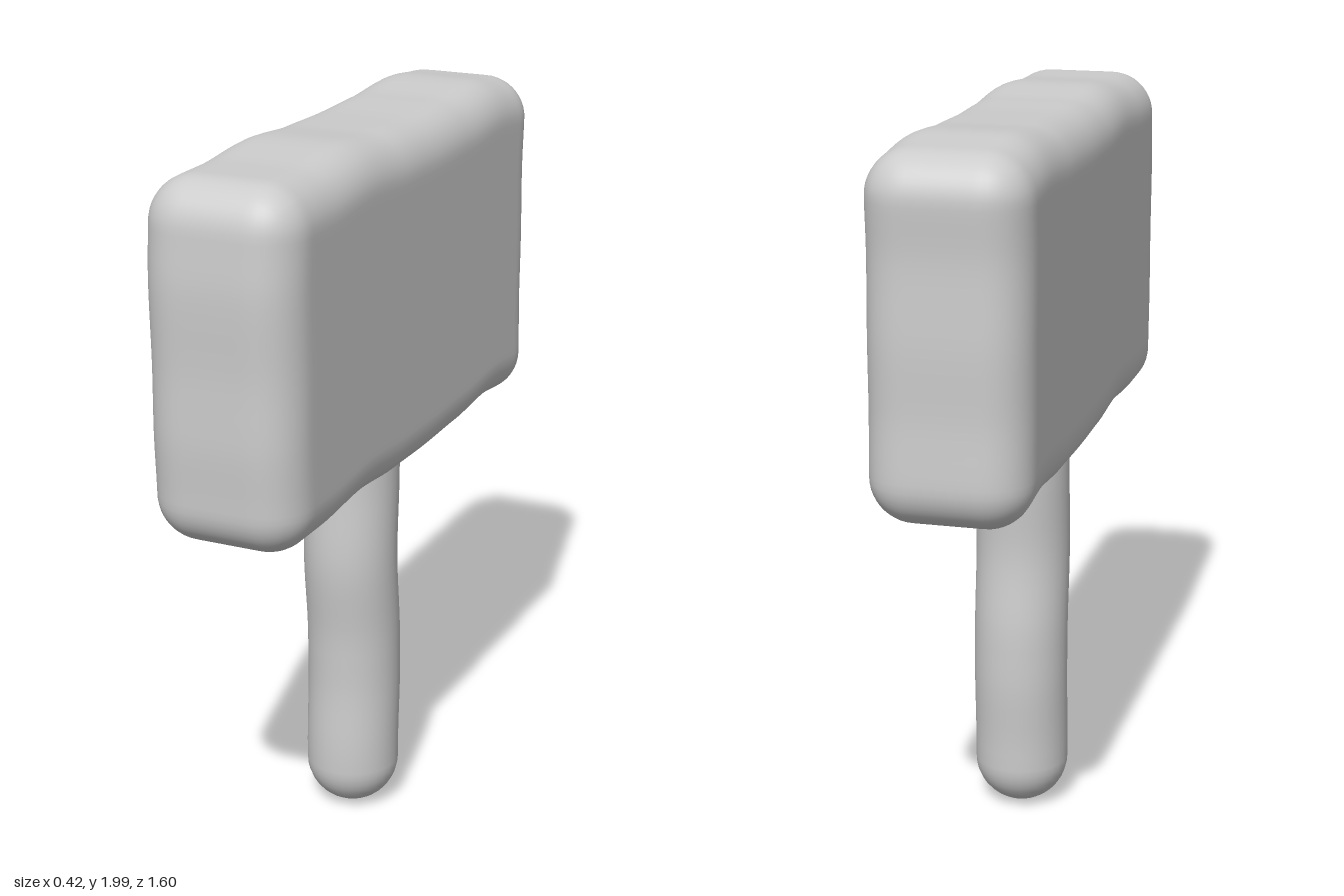
import * as THREE from 'three';
import { mergeVertices } from 'three/addons/utils/BufferGeometryUtils.js';

// Smooth value at t through [position, value] keys
function wave(keys, t) {
  if (t <= keys[0][0]) return keys[0][1];
  for (let i = 1; i < keys.length; i++) {
    const [a, va] = keys[i - 1], [b, vb] = keys[i];
    if (t <= b) return va + (vb - va) * THREE.MathUtils.smoothstep(t, a, b);
  }
  return keys[keys.length - 1][1];
}

// Move every vertex by a rule, then weld and smooth the normals
function reshape(geometry, rule) {
  geometry.deleteAttribute('normal');
  geometry.deleteAttribute('uv');
  const p = geometry.attributes.position, v = new THREE.Vector3();
  for (let i = 0; i < p.count; i++) {
    rule(v.fromBufferAttribute(p, i));
    p.setXYZ(i, v.x, v.y, v.z);
  }
  const welded = mergeVertices(geometry, 1e-5);
  welded.computeVertexNormals();
  return welded;
}

export function createModel() {
  const model = new THREE.Group();
  const material = new THREE.MeshStandardMaterial({ color: 0xcccccc });

  // Board: a box rounded on all edges, with gently wavy outlines
  const half = new THREE.Vector3(0.21, 0.4675, 0.792), radius = 0.12, middle = 1.517;
  const core = half.clone().subScalar(radius), coreMin = core.clone().negate();
  const heightWave = [[-0.7, 0], [-0.52, 0.0145], [-0.3, 0.002], [-0.08, -0.002],
    [0.1, 0.001], [0.32, 0.0145], [0.56, 0]];
  const depthWave = [[1.15, -0.006], [1.35, 0.002], [1.5, 0], [1.72, 0.006], [1.9, -0.003]];
  const boardGeometry = reshape(
    new THREE.BoxGeometry(half.x * 2, half.y * 2, half.z * 2, 20, 44, 72),
    v => {
      const inner = v.clone().clamp(coreMin, core);
      v.sub(inner).setLength(radius).add(inner);
      const y = v.y + middle;
      v.y = y + wave(heightWave, v.z);
      v.z += wave(depthWave, y);
    });
  const board = new THREE.Mesh(boardGeometry, material);
  board.name = 'signBoard';
  model.add(board);

  // Post: a round stick with a domed foot, bending slightly back and forth
  const profile = [];
  for (let i = 0; i <= 10; i++) {
    const a = (i / 10) * Math.PI / 2;
    profile.push(new THREE.Vector2(0.13 * Math.sin(a), 0.005 + 0.13 * (1 - Math.cos(a))));
  }
  for (let i = 1; i <= 24; i++) profile.push(new THREE.Vector2(0.13, 0.135 + i * 0.045));
  profile.push(new THREE.Vector2(0, 1.215));
  const bend = [[0.18, -0.004], [0.4, -0.014], [0.5, -0.012], [0.78, 0.011], [1.02, -0.001]];
  const postGeometry = reshape(new THREE.LatheGeometry(profile, 32), v => {
    v.z += wave(bend, v.y);
  });
  const post = new THREE.Mesh(postGeometry, material);
  post.name = 'post';
  model.add(post);

  return model;
}
